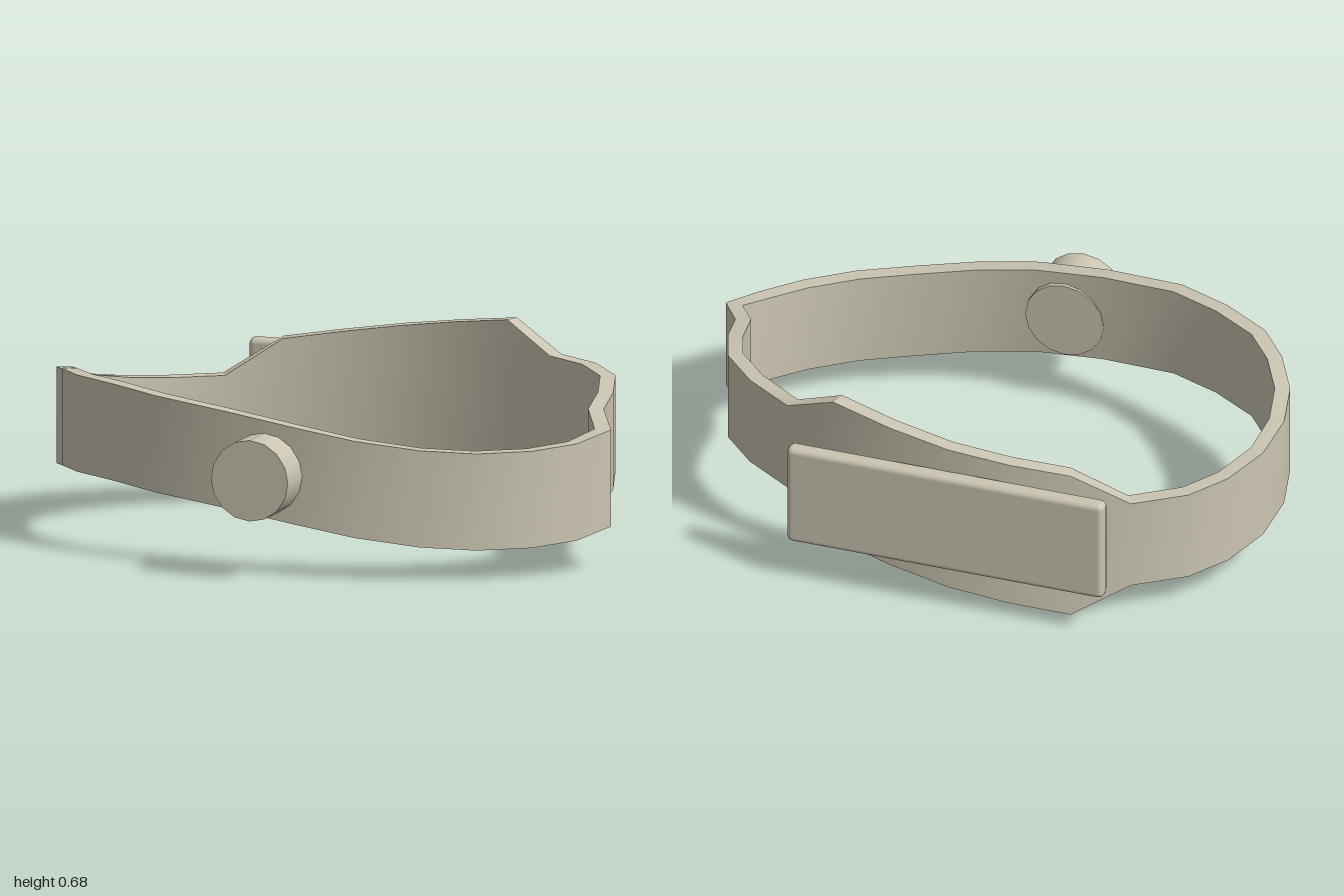
import * as THREE from 'three';
import { toCreasedNormals } from 'three/addons/utils/BufferGeometryUtils.js';
import { RoundedBoxGeometry } from 'three/addons/geometries/RoundedBoxGeometry.js';

const STRAP = 0.327; // usual width of the band
const WALL = 0.051;  // thickness of the band

// Outer outline of the band: x, z, top y and (where it widens) bottom y
const OUTLINE = [
  [1, 0.1, 0.47], [0.92, -0.04, 0.51], [0.9, -0.18, 0.54], [0.85, -0.33, 0.567],
  [0.73, -0.46, 0.577], [0.565, -0.565, 0.577],
  [0.38, -0.635, 0.675, 0.13], [0.17, -0.68, 0.646, 0.098], [-0.045, -0.7, 0.615, 0.065],
  [-0.25, -0.68, 0.585, 0.032], [-0.45, -0.635, 0.555, 0],
  [-0.635, -0.555, 0.432], [-0.8, -0.445, 0.432], [-0.9, -0.33, 0.445], [-0.975, -0.185, 0.472],
  [-1, -0.04, 0.51], [-0.975, 0.1, 0.547], [-0.9, 0.24, 0.57], [-0.8, 0.36, 0.577],
  [-0.635, 0.46, 0.577], [-0.45, 0.545, 0.565], [-0.18, 0.59, 0.538], [0.07, 0.61, 0.504],
  [0.28, 0.595, 0.47], [0.49, 0.54, 0.443], [0.665, 0.47, 0.432], [0.82, 0.36, 0.432],
  [0.93, 0.235, 0.442],
];

// Closed band with a rectangular cross-section at every outline point
function bandGeometry() {
  const n = OUTLINE.length;
  const outward = (a, b) => new THREE.Vector2(-(b[1] - a[1]), b[0] - a[0]).normalize();
  const sections = OUTLINE.map((p, i) => {
    const before = outward(OUTLINE[(i + n - 1) % n], p);
    const after = outward(p, OUTLINE[(i + 1) % n]);
    const mitre = before.clone().add(after).normalize();
    const depth = WALL / mitre.dot(after);
    const [x, z, top, bottom = top - STRAP] = p;
    const ix = x - mitre.x * depth, iz = z - mitre.y * depth;
    return [[x, bottom, z], [x, top, z], [ix, top, iz], [ix, bottom, iz]];
  });
  const positions = [];
  sections.forEach((a, i) => {
    const b = sections[(i + 1) % n];
    for (let k = 0; k < 4; k++) {
      const m = (k + 1) % 4;
      positions.push(...a[k], ...b[k], ...b[m], ...a[k], ...b[m], ...a[m]);
    }
  });
  const geometry = new THREE.BufferGeometry();
  geometry.setAttribute('position', new THREE.Float32BufferAttribute(positions, 3));
  return toCreasedNormals(geometry, 0.5);
}

export function createModel() {
  const model = new THREE.Group();
  model.name = 'bracelet';
  const stone = new THREE.MeshStandardMaterial({ color: 0xcbc5b2 });
  stone.name = 'warm grey';

  const add = (name, geometry, x, y, z) => {
    const mesh = new THREE.Mesh(geometry, stone);
    mesh.name = name;
    mesh.position.set(x, y, z);
    model.add(mesh);
    return mesh;
  };

  add('band', bandGeometry(), 0, 0, 0);

  // Round stud through the front of the band
  const stud = new THREE.CylinderGeometry(0.137, 0.137, 0.203, 16).rotateX(Math.PI / 2);
  add('stud', stud, -0.04, 0.34, 0.638);

  // Flat plate on the widened back
  add('backPlate', new RoundedBoxGeometry(1.11, 0.375, 0.056, 2, 0.022), -0.043, 0.342, -0.713);

  return model;
}
